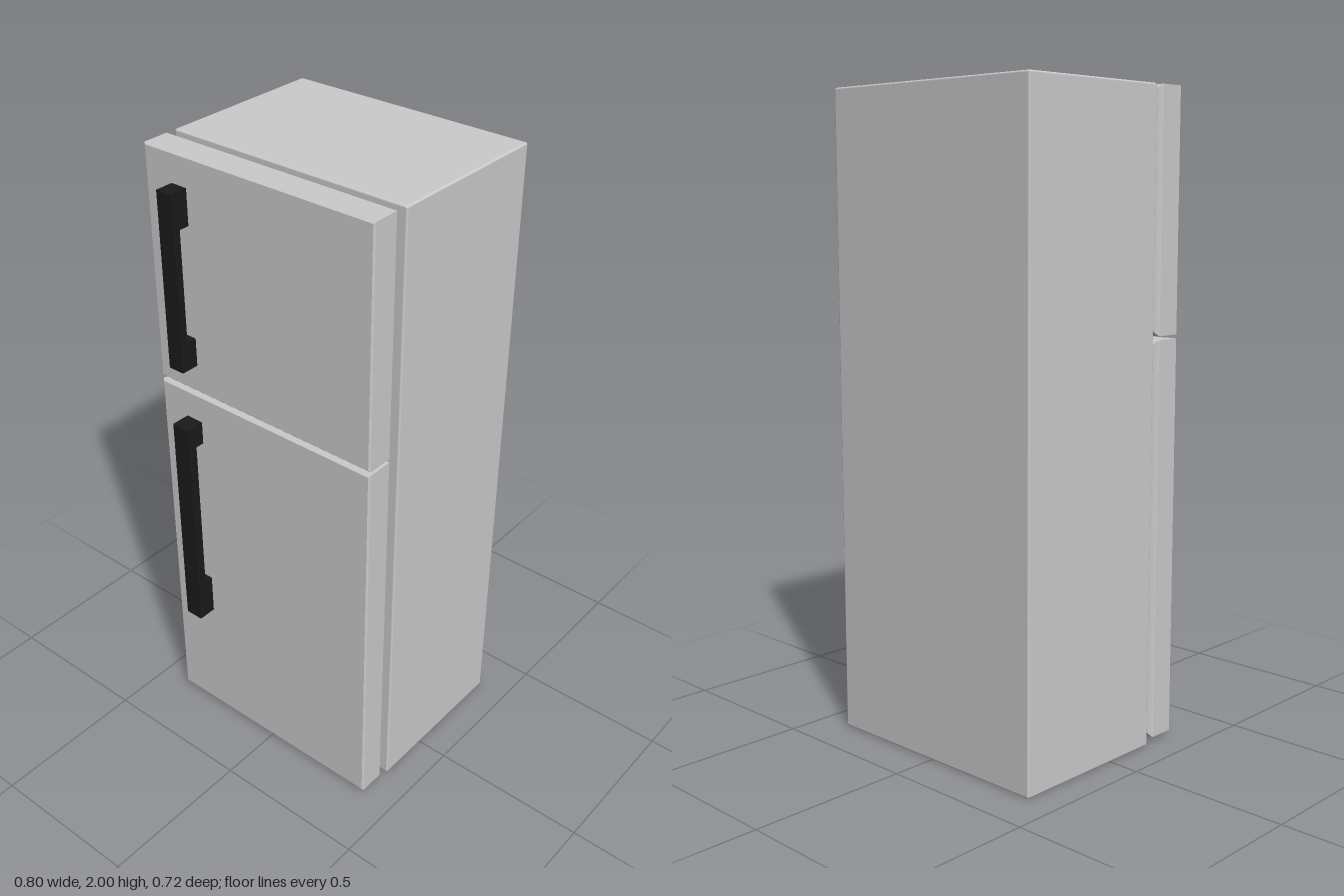
import * as THREE from 'three';
import { RoundedBoxGeometry } from 'three/addons/geometries/RoundedBoxGeometry.js';

const grey = new THREE.MeshStandardMaterial({ color: 0xcccccc });
const greyFlat = new THREE.MeshStandardMaterial({ color: 0xcccccc, flatShading: true });
const black = new THREE.MeshStandardMaterial({ color: 0x1a1a1a, flatShading: true });

function part(name, geometry, material) {
  const mesh = new THREE.Mesh(geometry, material);
  mesh.name = name;
  return mesh;
}

// Lofts a rectangle along z; each profile entry is [z, inset from the outline]
function loftedPanel(halfWidth, y0, y1, profile) {
  const rings = profile.map(([z, inset]) => {
    const w = halfWidth - inset, a = y0 + inset, b = y1 - inset;
    return [[-w, a, z], [w, a, z], [w, b, z], [-w, b, z]];
  });
  const positions = [];
  const quad = (a, b, c, d) => positions.push(...a, ...b, ...c, ...a, ...c, ...d);
  for (let i = 0; i < rings.length - 1; i++) {
    for (let k = 0; k < 4; k++) {
      const n = (k + 1) % 4;
      quad(rings[i][k], rings[i][n], rings[i + 1][n], rings[i + 1][k]);
    }
  }
  const back = rings[0], front = rings[rings.length - 1];
  quad(back[3], back[2], back[1], back[0]);
  quad(front[0], front[1], front[2], front[3]);
  const geometry = new THREE.BufferGeometry();
  geometry.setAttribute('position', new THREE.Float32BufferAttribute(positions, 3));
  geometry.computeVertexNormals();
  return geometry;
}

// Bracket-shaped grip: a bar with a foot at each end, drawn in z-y and extruded along x
function handleGeometry({ x0, x1, y0, y1, footLow, footHigh, front, barBack }) {
  const shape = new THREE.Shape([
    [0.298, y0], [front, y0], [front, y1], [0.298, y1],
    [0.298, footHigh], [barBack, footHigh], [barBack, footLow], [0.298, footLow],
  ].map(([z, y]) => new THREE.Vector2(z, y)));
  const geometry = new THREE.ExtrudeGeometry(shape, { depth: x1 - x0, bevelEnabled: false });
  return geometry.rotateY(-Math.PI / 2).translate(x1, 0, 0);
}

export function createModel() {
  const model = new THREE.Group();
  model.name = 'refrigerator';

  // Cabinet with slightly softened edges
  const cabinet = part('cabinet', new RoundedBoxGeometry(0.8, 2, 0.538, 2, 0.006), grey);
  cabinet.position.set(0, 1, -0.091);
  model.add(cabinet);

  // Door section: narrow seal, sloped back edge, straight side, bevelled front
  const doorProfile = [
    [0.176, 0.034], [0.182, 0.034], [0.185, 0.029], [0.191, 0.028],
    [0.203, 0.009], [0.209, 0.002], [0.213, 0], [0.295, 0], [0.3, 0.005],
  ];

  const doors = [
    {
      name: 'upperDoor', y0: 1.268, y1: 2,
      handle: { x0: -0.296, x1: -0.242, y0: 1.36, y1: 1.91, footLow: 1.45, footHigh: 1.8, front: 0.358, barBack: 0.333 },
    },
    {
      name: 'lowerDoor', y0: 0.015, y1: 1.256,
      handle: { x0: -0.298, x1: -0.238, y0: 0.43, y1: 1.165, footLow: 0.565, footHigh: 1.09, front: 0.36, barBack: 0.329 },
    },
  ];
  for (const { name, y0, y1, handle } of doors) {
    const group = new THREE.Group();
    group.name = name;
    group.add(part(name + 'Panel', loftedPanel(0.395, y0, y1, doorProfile), greyFlat));
    group.add(part(name + 'Handle', handleGeometry(handle), black));
    model.add(group);
  }
  return model;
}
